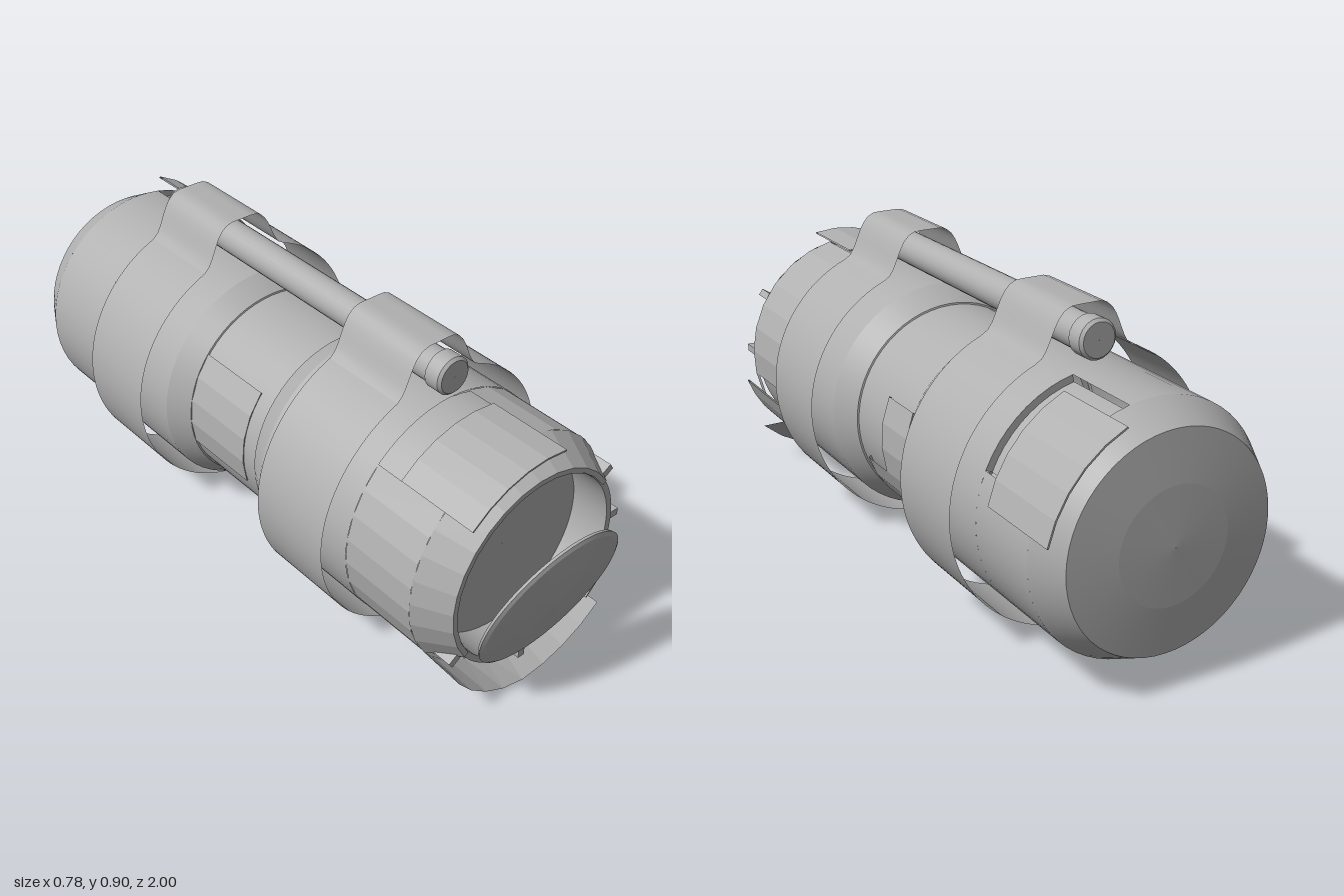
import * as THREE from 'three';
import { mergeGeometries } from 'three/addons/utils/BufferGeometryUtils.js';

const CY = 0.405; // height of the long axis
const RAD = Math.PI / 180;

export function createModel() {
  const model = new THREE.Group();
  model.name = 'canister';
  const grey = new THREE.MeshStandardMaterial({ color: 0xb0b0b0, side: THREE.DoubleSide });
  grey.name = 'plain grey';

  const add = (name, geometry, y = CY) => {
    const mesh = new THREE.Mesh(geometry, grey);
    mesh.name = name;
    mesh.position.y = y;
    model.add(mesh);
    return mesh;
  };

  const faceted = (g) => {
    const flat = g.toNonIndexed();
    flat.computeVertexNormals();
    return flat;
  };

  // Part turn about the z axis; profile is [radius, z], angles run from +x towards +y.
  // Every profile step becomes its own strip so that its edges stay sharp.
  const turn = (profile, a0 = 0, a1 = 360, step = 6) => {
    const strips = [];
    for (let i = 0; i < profile.length - 1; i++) {
      const pts = [profile[i], profile[i + 1]].map(([r, z]) => new THREE.Vector2(r, z));
      const segs = Math.max(1, Math.round((a1 - a0) / step));
      strips.push(new THREE.LatheGeometry(pts, segs, (a0 + 90) * RAD, (a1 - a0) * RAD).rotateX(Math.PI / 2));
    }
    return mergeGeometries(strips);
  };

  // Sheet whose vertices are placed by a rule of (u, v)
  const sheet = (nu, nv, rule) => {
    const g = new THREE.PlaneGeometry(1, 1, nu, nv);
    const p = g.attributes.position;
    for (let i = 0; i < p.count; i++) p.setXYZ(i, ...rule(p.getX(i) + 0.5, p.getY(i) + 0.5));
    g.computeVertexNormals();
    return g;
  };

  // Front hull: smooth barrel, then a faceted collar with two openings
  add('frontHull', turn([[0.285, 0.08], [0.305, 0.085], [0.345, 0.16], [0.345, 0.52]]));
  const collar = [[0.345, 0.52], [0.345, 0.76]];
  for (const [a, b] of [[-10, 79], [134, 306]]) {
    add('frontCollar', faceted(turn(collar, a, b, 12)));
  }
  add('collarBridge', faceted(turn([[0.345, 0.73], [0.345, 0.76]], -54, -10, 12)));
  add('frontChamfer', faceted(turn([[0.345, 0.76], [0.29, 0.86], [0.275, 0.86]], 33, 215, 12)));

  // Bent lip under the nose, opening wider towards the right end
  add('bentLip', faceted(sheet(9, 1, (u, v) => {
    const a = (215 + 99 * u) * RAD;
    const r = 0.345 + v * 0.062 * Math.min(1, u * 1.9);
    return [r * Math.cos(a), r * Math.sin(a), 0.76 + 0.1 * v];
  })));

  // Liner, recessed bulkhead and spacers in the open nose
  add('noseLiner', turn([[0.325, 0.5], [0.325, 0.77], [0.29, 0.79], [0.29, 0.855], [0.272, 0.855], [0.272, 0.74]]));
  add('noseBulkhead', turn([[0.272, 0.74], [0.001, 0.74]]));
  for (const a of [-90, 0, 33, 215]) {
    const rib = add('noseSpacer', new THREE.BoxGeometry(0.05, 0.022, 0.07).translate(0.305, 0, 0.81));
    rib.rotation.z = a * RAD;
  }

  // Loose cover plates
  const plates = [
    ['topPlate', 0.353, 0.61, 0.86, 79, 134],
    ['lowerSidePlate', 0.356, 0.575, 0.85, -47, -19],
    ['rearSidePlate', 0.358, -0.98, -0.72, 12, 67],
  ];
  for (const [name, r, z0, z1, a0, a1] of plates) {
    add(name, faceted(turn([[r - 0.005, z0], [r, z0], [r, z1], [r - 0.005, z1], [r - 0.005, z0]], a0, a1, 11)));
  }

  // Middle barrel with side panels
  add('middleBarrel', turn([[0.3, 0.1], [0.3, -0.23]]));
  add('middlePanelLower', faceted(turn([[0.3, 0.04], [0.309, 0.04], [0.309, -0.215], [0.3, -0.215]], -54, -18, 12)));
  add('middlePanelUpper', faceted(turn([[0.3, -0.075], [0.309, -0.075], [0.309, -0.215], [0.3, -0.215]], -18, 24, 14)));
  add('middlePanelFar', faceted(turn([[0.298, 0.03], [0.304, 0.03], [0.304, -0.215], [0.298, -0.215]], 140, 196, 14)));

  // Rear hull with an opening behind its side plate, and a shallow domed end
  add('rearHullFront', turn([[0.285, -0.21], [0.305, -0.215], [0.345, -0.28], [0.345, -0.655]]));
  add('rearHullBack', turn([[0.345, -0.655], [0.345, -0.89]], 78, 383));
  add('rearRecess', turn([[0.345, -0.655], [0.325, -0.655], [0.325, -0.89], [0.345, -0.89]], 23, 78));
  add('rearChamfer', turn([[0.345, -0.89], [0.297, -0.98]]));
  add('rearCap', turn([[0.297, -0.98], [0.16, -0.994], [0.001, -1]]));

  // Two open clamp bands with a raised saddle over the rod
  const outline = new THREE.Path();
  outline.absarc(0, 0, 0.39, 111 * RAD, 429 * RAD, false);
  outline.bezierCurveTo(0.1, 0.385, 0.1, 0.495, 0.035, 0.495);
  outline.lineTo(-0.035, 0.495);
  outline.bezierCurveTo(-0.1, 0.495, -0.1, 0.385, 0.39 * Math.cos(111 * RAD), 0.39 * Math.sin(111 * RAD));
  for (const [name, z0, z1] of [['frontBand', 0.21, 0.475], ['rearBand', -0.605, -0.345]]) {
    add(name, sheet(120, 1, (u, v) => {
      const p = outline.getPointAt(Math.min(u, 1));
      return [p.x, p.y, z0 + (z1 - z0) * v];
    }));
  }

  // Carrying rod with chamfered end knobs
  add('rod', turn([[0.048, -0.62], [0.048, 0.49]], 0, 360, 15), 0.82);
  for (const s of [-1, 1]) {
    const z = s > 0 ? 0.48 : -0.607;
    add('rodKnob', turn([[0.04, z], [0.055, z], [0.055, z + s * 0.045], [0.047, z + s * 0.053], [0.001, z + s * 0.053]], 0, 360, 18), 0.82);
  }

  // Tilted lid hanging in front of the nose
  const lid = add('lid', turn([[0.001, 0.02], [0.12, 0.014], [0.224, 0.002], [0.235, -0.004], [0.232, -0.012], [0.001, -0.006]]), 0.357);
  lid.position.set(-0.015, 0.357, 0.932);
  lid.rotation.x = 0.28;

  return model;
}
